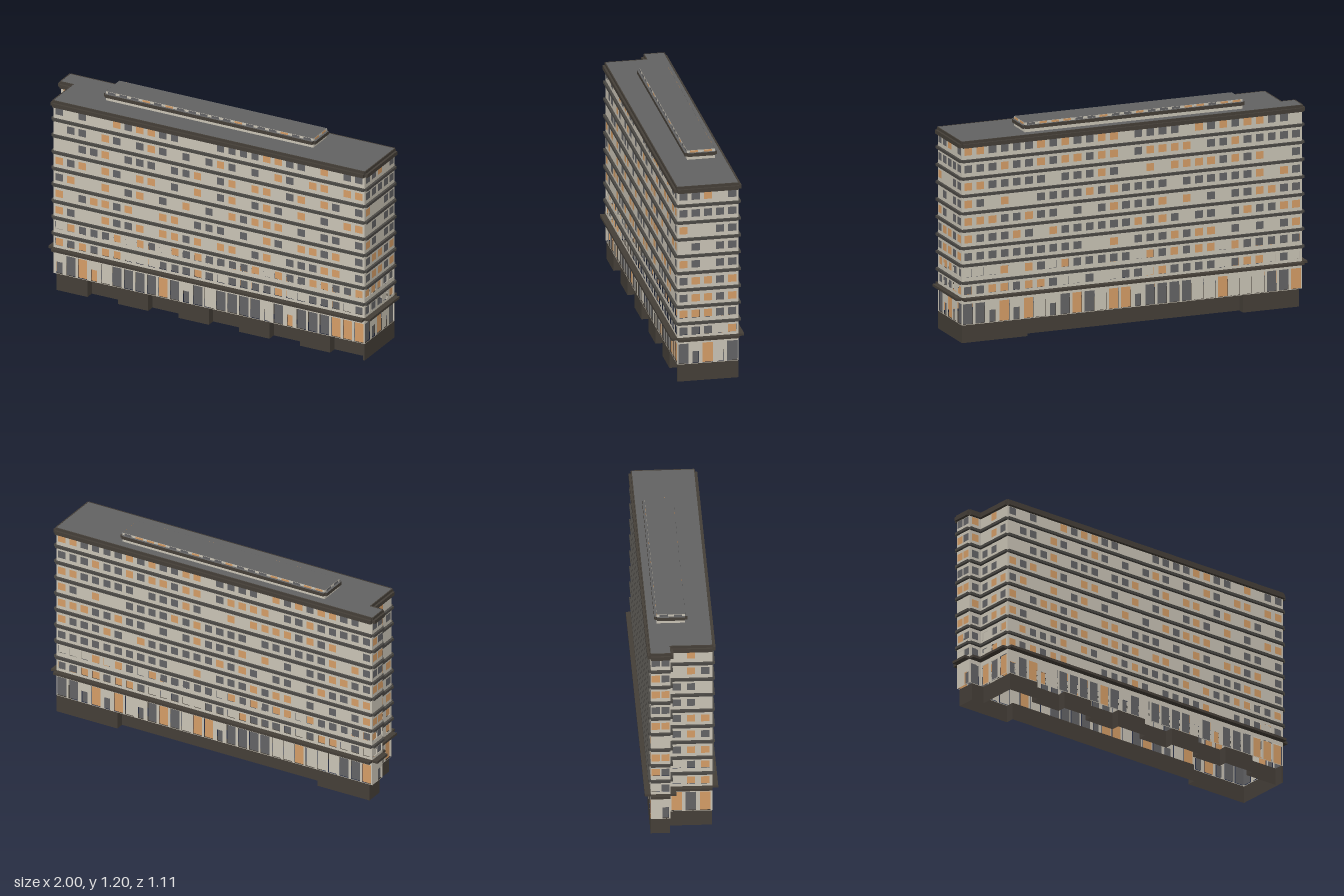
import * as THREE from 'three';
import { mergeGeometries } from 'three/addons/utils/BufferGeometryUtils.js';

const mat = (name, color, side = THREE.FrontSide) => {
  const m = new THREE.MeshStandardMaterial({ color, side });
  m.name = name;
  return m;
};

// seeded random numbers for the lit and dark windows
let seed = 11;
const rnd = () => {
  seed = (seed * 16807) % 2147483647;
  return seed / 2147483647;
};

// upper windows of the front and right walls, lowest floor first: G grey, O lit, dot blank
const windowRows = [
  [
    'OG..OGGO.OOGO.OO.GO.GGGOO.G',
    'O.GOOGO..OO.GGG.G.OG.OOGO.G',
    'GO..O.GO.G.O.G.OGOOO.G.GG.G',
    'OGO.OG.OO.G.O.GO.GOG.O.G.OO',
    '..GGO.GGG.GGO.GO.OO.GO.OG.G',
    '.GG.OG.GOG.G.GOG.G.OG.OO.OO',
    'G.G..OGOOGG...GGGGOOGG.O.GG',
  ],
  ['GOOGO', 'GOOGO', 'OG.GG', '.G.GG', 'O..GG', 'GGGGG', 'GGO.G'],
];

export function createModel() {
  const wallMat = mat('pale stone', 0xcbc5b7, THREE.DoubleSide);
  const trimMat = mat('dark brown trim', 0x453f38, THREE.DoubleSide);
  const bandMat = mat('dark grey band', 0x4b4945);
  const glassMat = mat('grey glass', 0x646466, THREE.DoubleSide);
  const litMat = mat('lit window', 0xd69e67, THREE.DoubleSide);
  const roofMat = mat('grey roof', 0x636363, THREE.DoubleSide);

  const model = new THREE.Group();
  const building = new THREE.Group();
  building.name = 'building';
  building.rotation.y = -0.3665;
  model.add(building);

  const add = (parent, name, geo, material) => {
    const m = new THREE.Mesh(geo, material);
    m.name = name;
    parent.add(m);
    return m;
  };

  // calls fn(group, length, index) for each side of an outline; local x runs along it, z outwards
  const alongOutline = (pts, name, fn) => pts.forEach(([x0, z0], i) => {
    const [x1, z1] = pts[(i + 1) % pts.length];
    const g = new THREE.Group();
    g.name = name;
    g.position.set(x0, 0, z0);
    g.rotation.y = Math.atan2(z0 - z1, x1 - x0);
    building.add(g);
    fn(g, Math.hypot(x1 - x0, z1 - z0), i);
  });

  const band = (g, name, len, y0, y1, out, material) => {
    const geo = new THREE.BoxGeometry(len, y1 - y0, out);
    geo.translate(len / 2, (y0 + y1) / 2, out / 2);
    add(g, name, geo, material);
  };

  const slab = (name, pts, y) => {
    const shape = new THREE.Shape(pts.map(([x, z]) => new THREE.Vector2(x, -z)));
    add(building, name, new THREE.ShapeGeometry(shape).rotateX(-Math.PI / 2), roofMat).position.y = y;
  };

  const rectPath = (x, y, w, h) => {
    const p = new THREE.Path();
    p.moveTo(x - w / 2, y);
    p.lineTo(x - w / 2, y + h);
    p.lineTo(x + w / 2, y + h);
    p.lineTo(x + w / 2, y);
    p.closePath();
    return p;
  };

  const addPanes = (g, panes) => {
    for (const [m, geos] of panes) if (geos.length) add(g, 'windows', mergeGeometries(geos), m);
  };

  const outline = [
    [-0.972, 0.183], [0.976, 0.183], [0.976, -0.16],
    [-1.053, -0.16], [-1.053, -0.052], [-0.972, -0.052],
  ];

  // walls with windows, floor bands and cornices
  alongOutline(outline, 'facade', (g, len, side) => {
    const n = Math.max(1, Math.round(len / 0.072));
    const pitch = len / n;
    const panes = new Map([[glassMat, []], [litMat, []], [wallMat, []]]);
    const wall = new THREE.Shape();
    wall.moveTo(0, 0.1);
    wall.lineTo(len, 0.1);
    wall.lineTo(len, 1.148);
    wall.lineTo(0, 1.148);
    wall.closePath();

    const pane = (m, x, y, w, h, z) =>
      panes.get(m).push(new THREE.PlaneGeometry(w, h).translate(x, y + h / 2, z));
    const pick = (blank) => {
      const r = rnd();
      return r < blank ? wallMat : r < blank + 0.3 ? litMat : glassMat;
    };
    const coded = { G: glassMat, O: litMat, '.': wallMat };

    for (let i = 0; i < n; i++) {
      const x = (i + 0.5) * pitch;
      // tall shopfronts and smaller doors, set back in openings
      const door = rnd() < 0.2;
      const w = door ? 0.036 : 0.058;
      const h = door ? 0.07 : 0.117;
      wall.holes.push(rectPath(x, 0.103, w, h));
      pane(pick(0.1), x, 0.103, w, h, -0.007);
      // two lower floors with recessed windows
      for (const y of [0.272, 0.372]) {
        wall.holes.push(rectPath(x, y, 0.046, 0.045));
        pane(pick(0.2), x, y, 0.046, 0.045, -0.005);
      }
      // seven upper floors with flush windows
      for (let f = 0; f < 7; f++) {
        const code = windowRows[side]?.[f][i];
        const m = code ? coded[code] : pick(0.2);
        if (m !== wallMat) pane(m, x, 0.467 + f * 0.1, 0.046, 0.043, 0.002);
      }
    }
    add(g, 'wall', new THREE.ShapeGeometry(wall), wallMat);
    addPanes(g, panes);

    band(g, 'shopCornice', len, 0.243, 0.257, 0.033, trimMat);
    for (let f = 0; f < 8; f++) {
      band(g, 'floorBand', len, 0.334 + f * 0.0992, 0.349 + f * 0.0992, 0.014, bandMat);
    }
    band(g, 'lowerRoofCornice', len, 1.113, 1.135, 0.018, trimMat);
    band(g, 'upperRoofCornice', len, 1.135, 1.15, 0.006, trimMat);
  });
  slab('roof', outline, 1.149);

  // plinth with alternating projections along the front and one long recess behind
  const plinth = [[-0.955, 0.183]];
  for (let i = 0; i < 5; i++) {
    const end = -0.76 + i * 0.38;
    plinth.push([end, 0.183], [end, 0.133]);
    if (i < 4) plinth.push([end + 0.19, 0.133], [end + 0.19, 0.183]);
  }
  plinth.push(
    [0.965, 0.133], [0.965, 0.183], [0.976, 0.183], [0.976, -0.16],
    [0.584, -0.16], [0.584, -0.11], [-0.7, -0.11], [-0.7, -0.16],
    [-1.035, -0.16], [-1.035, -0.052], [-0.955, -0.052],
  );
  alongOutline(plinth, 'plinth', (g, len) =>
    add(g, 'plinthFace', new THREE.PlaneGeometry(len, 0.1).translate(len / 2, 0.05, 0), trimMat));

  // low rooftop storey with its own grey-topped band and a strip of small windows
  const attic = [[-0.718, 0.046], [0.58, 0.046], [0.58, -0.11], [-0.718, -0.11]];
  const atticBandMats = [trimMat, trimMat, roofMat, trimMat, trimMat, trimMat];
  alongOutline(attic, 'attic', (g, len) => {
    add(g, 'atticWall', new THREE.PlaneGeometry(len, 0.055).translate(len / 2, 1.1765, 0), wallMat);
    band(g, 'atticBand', len, 1.17, 1.19, 0.013, atticBandMats);
    const panes = new Map([[glassMat, []], [litMat, []]]);
    const n = Math.round(len / 0.072);
    for (let i = 0; i < n; i++) {
      const geo = new THREE.PlaneGeometry(0.046, 0.012).translate((i + 0.5) * len / n, 1.197, 0.002);
      panes.get(rnd() < 0.7 ? glassMat : litMat).push(geo);
    }
    addPanes(g, panes);
  });
  slab('atticRoof', attic, 1.204);

  return model;
}
